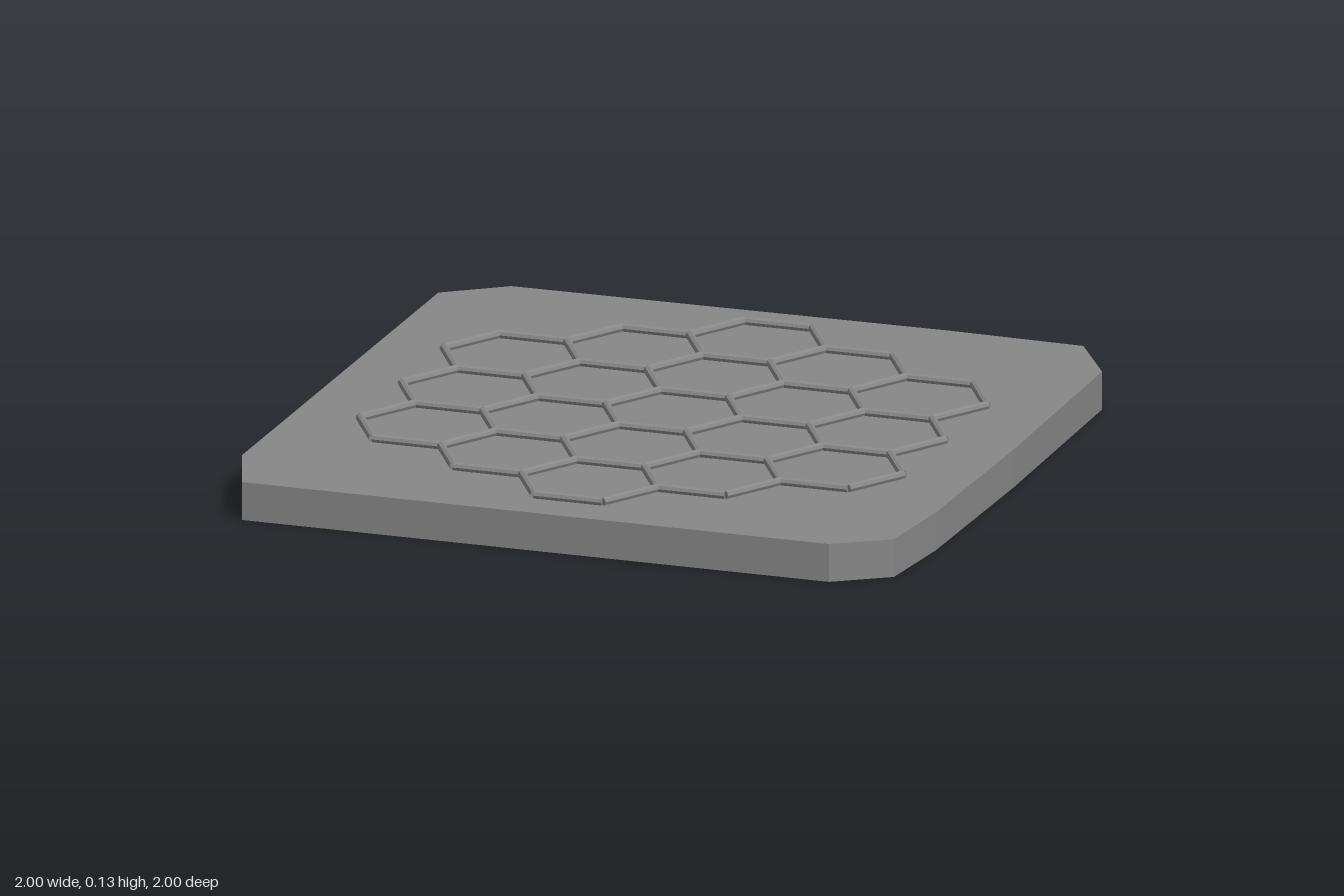
import * as THREE from 'three';

const SLAB_HEIGHT = 0.11;
const HEX_RADIUS = 0.2;
const ROD_RADIUS = 0.0125;

export function createModel() {
  const model = new THREE.Group();
  model.name = 'hexGridTile';
  const stone = new THREE.MeshStandardMaterial({ color: 0x888888 });
  stone.name = 'stone grey';

  // Slab with uneven chipped corners, outline as x, z
  const outline = [
    [-1, -0.86], [-0.83, -0.985], [0.46, -1], [0.855, -0.99], [0.985, -0.78], [1, 0],
    [0.995, 0.62], [0.97, 0.895], [0.815, 1], [-0.915, 1], [-1, 0.76],
  ];
  const shape = new THREE.Shape(outline.map(([x, z]) => new THREE.Vector2(x, -z)));
  const slabGeometry = new THREE.ExtrudeGeometry(shape, { depth: SLAB_HEIGHT, bevelEnabled: false });
  slabGeometry.rotateX(-Math.PI / 2);
  const slab = new THREE.Mesh(slabGeometry, stone);
  slab.name = 'slab';
  model.add(slab);

  // Rods along the edges of 19 hexagons, shared edges built once
  const grid = new THREE.Group();
  grid.name = 'hexGrid';
  model.add(grid);
  const rodGeometry = new THREE.CylinderGeometry(ROD_RADIUS, ROD_RADIUS, HEX_RADIUS, 8).toNonIndexed();
  rodGeometry.computeVertexNormals();
  rodGeometry.rotateZ(Math.PI / 2);
  const apothem = HEX_RADIUS * Math.sqrt(3) / 2;
  const used = new Set();

  for (let column = -2; column <= 2; column++) {
    const count = 5 - Math.abs(column);
    for (let row = 0; row < count; row++) {
      const cx = column * HEX_RADIUS * 1.5;
      const cz = (row - (count - 1) / 2) * apothem * 2;
      for (let side = 0; side < 6; side++) {
        const angle = (side + 0.5) * Math.PI / 3;
        const x = cx + Math.cos(angle) * apothem;
        const z = cz + Math.sin(angle) * apothem;
        const key = `${Math.round(x * 100)},${Math.round(z * 100)}`;
        if (used.has(key)) continue;
        used.add(key);
        const rod = new THREE.Mesh(rodGeometry, stone);
        rod.name = 'gridRod';
        rod.position.set(x, SLAB_HEIGHT + 0.01, z);
        rod.rotation.y = -angle + Math.PI / 2;
        grid.add(rod);
      }
    }
  }
  return model;
}
